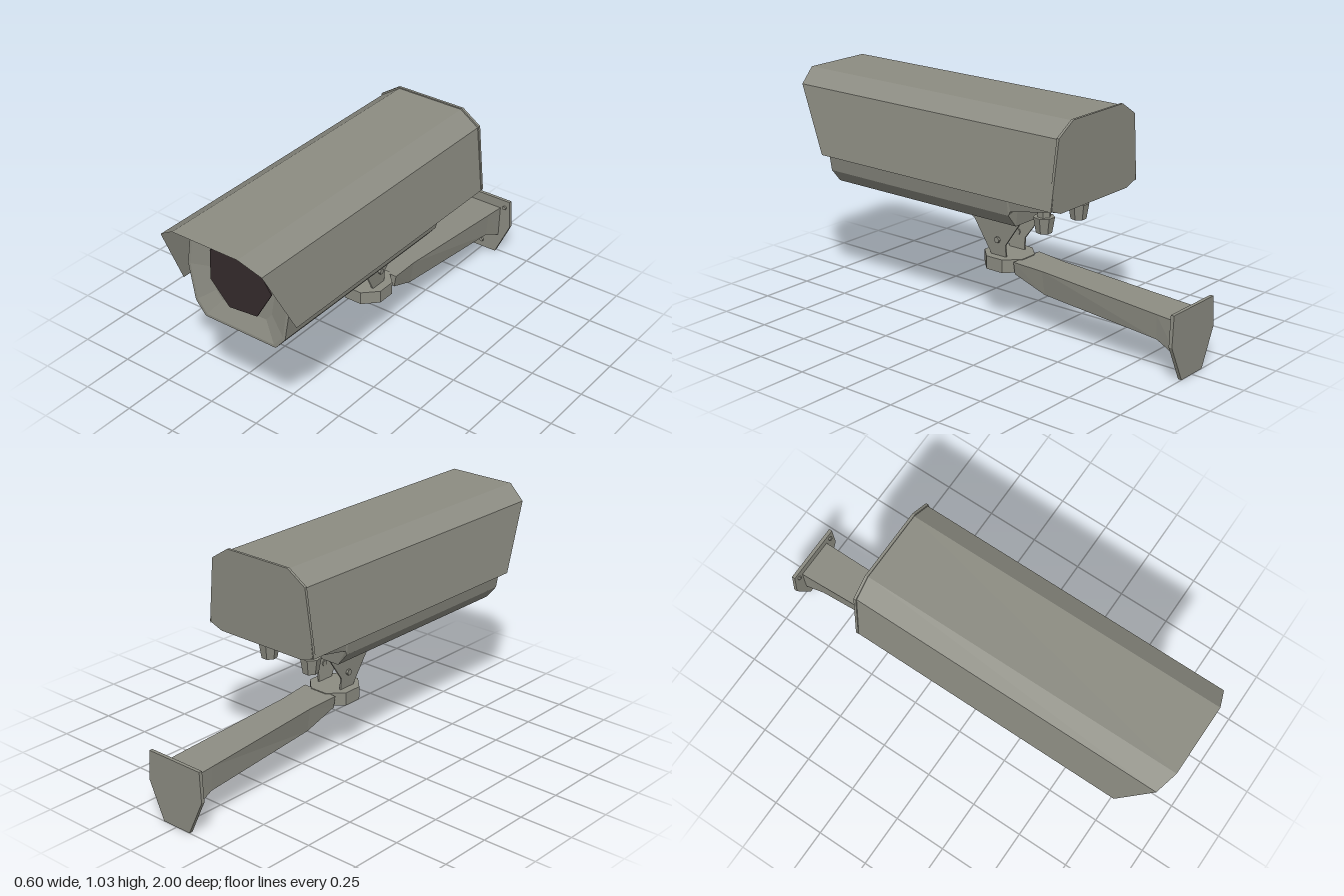
import * as THREE from 'three';

const grey = new THREE.MeshStandardMaterial({ color: 0x8c8c82, side: THREE.DoubleSide });
grey.name = 'housing grey';
const dark = new THREE.MeshStandardMaterial({ color: 0x352b2c });
dark.name = 'lens dark';

// Faceted mesh: every face gets its own normals
function part(name, geometry, material = grey) {
  const g = geometry.index ? geometry.toNonIndexed() : geometry;
  g.computeVertexNormals();
  const mesh = new THREE.Mesh(g, material);
  mesh.name = name;
  return mesh;
}

// Skin between sections of [x, y, z] points, ordered back to front,
// each running counter-clockwise as seen from the front
function loft(sections, closed = true) {
  const pos = [];
  const tri = (a, b, c) => pos.push(...a, ...b, ...c);
  const n = sections[0].length;
  for (let i = 0; i < sections.length - 1; i++) {
    const s = sections[i], t = sections[i + 1];
    for (let j = 0; j < (closed ? n : n - 1); j++) {
      const k = (j + 1) % n;
      tri(s[j], s[k], t[k]);
      tri(s[j], t[k], t[j]);
    }
  }
  if (closed) {
    const back = sections[0], front = sections[sections.length - 1];
    for (let j = 1; j < n - 1; j++) {
      tri(back[0], back[j + 1], back[j]);
      tri(front[0], front[j], front[j + 1]);
    }
  }
  const g = new THREE.BufferGeometry();
  g.setAttribute('position', new THREE.Float32BufferAttribute(pos, 3));
  return g;
}

// Right half profile (bottom to top) mirrored to the left side
const mirror = (half) => [...half, ...half.map(([x, ...r]) => [-x, ...r]).reverse()];

// Flat outline in XY extruded along z
function plate(points, depth) {
  const shape = new THREE.Shape(points.map(([x, y]) => new THREE.Vector2(x, y)));
  return new THREE.ExtrudeGeometry(shape, { depth, bevelEnabled: false });
}

export function createModel() {
  const model = new THREE.Group();
  model.name = 'securityCamera';

  // Housing: stepped underside at the rear, shallow recess at the front
  const outline = mirror([[0.185, 0.52], [0.235, 0.58], [0.265, 0.75], [0.24, 0.91], [0.18, 0.99]]);
  const ring = (z, scale = 1, floor = 0) => outline.map(([x, y]) =>
    [x * scale, Math.max(floor, 0.76 + (y - 0.76) * scale), z]);
  model.add(part('housing', loft([
    ring(-0.49, 1, 0.65), ring(-0.23, 1, 0.6), ring(-0.22), ring(0.82),
    ring(0.82, 0.95), ring(0.79, 0.62),
  ])));

  // Lens window
  const lens = part('lensWindow', plate([[-0.155, 0.71], [-0.06, 0.61], [0.085, 0.625],
    [0.165, 0.76], [0.04, 0.94], [-0.15, 0.85]], 0.006), dark);
  lens.position.z = 0.805;
  model.add(lens);

  // Sun shield with a raked front edge
  const shield = mirror([[0.295, 0.665, 0.82], [0.257, 0.965, 0.97], [0.165, 1.025, 1.0]]);
  model.add(part('sunShield', loft([shield.map(([x, y]) => [x, y, -0.495]), shield], false)));

  // Rear cover, leaning slightly backwards
  const cover = mirror([[0.23, 0.645], [0.298, 0.67], [0.262, 0.97], [0.17, 1.03]]);
  const lean = (y) => -0.492 - (y - 0.65) * 0.035;
  model.add(part('rearCover', loft([
    cover.map(([x, y]) => [x, y, lean(y)]),
    cover.map(([x, y]) => [x, y, lean(y) + 0.012]),
  ])));

  // Cable glands under the rear and bracket cheeks under the middle
  const cheek = [[0.13, 0.52], [0.11, 0.47], [0.06, 0.455], [0.0, 0.38], [0.01, 0.31],
    [-0.07, 0.31], [-0.07, 0.37], [-0.18, 0.52]];
  for (const side of [-1, 1]) {
    const gland = new THREE.Group();
    gland.name = 'cableGland';
    const neck = part('glandNeck', new THREE.CylinderGeometry(0.03, 0.03, 0.07, 6));
    neck.position.y = 0.6;
    const nut = part('glandNut', new THREE.CylinderGeometry(0.047, 0.035, 0.07, 7));
    nut.position.y = 0.535;
    gland.add(neck, nut);
    gland.position.set(side * 0.12, 0, -0.32);
    model.add(gland);

    const outer = cheek.map(([z, y]) => [side * (0.068 + (y - 0.32) * 0.08), y, z]);
    const inner = outer.map(([x, y, z]) => [x - side * 0.008, y, z]);
    model.add(part('bracketCheek', loft(side > 0 ? [inner, outer] : [outer, inner])));

    const bolt = part('pivotBolt', new THREE.CylinderGeometry(0.014, 0.014, 0.025, 6));
    bolt.rotation.z = Math.PI / 2;
    bolt.position.set(side * 0.073, 0.39, -0.03);
    model.add(bolt);
  }
  const flange = part('bracketFlange', new THREE.BoxGeometry(0.17, 0.016, 0.31));
  flange.position.set(0, 0.512, -0.025);
  model.add(flange);

  // Swivel head at the end of the arm
  const head = part('swivelHead', new THREE.CylinderGeometry(0.115, 0.115, 0.06, 8));
  head.rotation.y = Math.PI / 8;
  head.position.set(0, 0.285, -0.035);
  model.add(head);

  // Wall arm: [z, bottom, top, half width at bottom, half width at top]
  const arm = [[-0.985, 0.1, 0.255, 0.09, 0.095], [-0.88, 0.15, 0.262, 0.085, 0.093],
    [-0.28, 0.19, 0.302, 0.062, 0.08], [-0.13, 0.255, 0.312, 0.08, 0.09]];
  model.add(part('wallArm', loft(arm.map(([z, lo, hi, wl, wh]) =>
    mirror([[wl, lo, z], [wh, hi, z]])))));

  // Wall plate with two small bolts
  const wall = part('wallPlate', plate(mirror([[0.075, 0], [0.153, 0.165], [0.145, 0.302]]), 0.016));
  wall.position.z = -1;
  model.add(wall);
  for (const [x, y] of [[-0.12, 0.265], [0.12, 0.265], [0, 0.04]]) {
    const bolt = part('wallBolt', new THREE.CylinderGeometry(0.01, 0.01, 0.012, 6));
    bolt.rotation.x = Math.PI / 2;
    bolt.position.set(x, y, -0.98);
    model.add(bolt);
  }
  return model;
}
